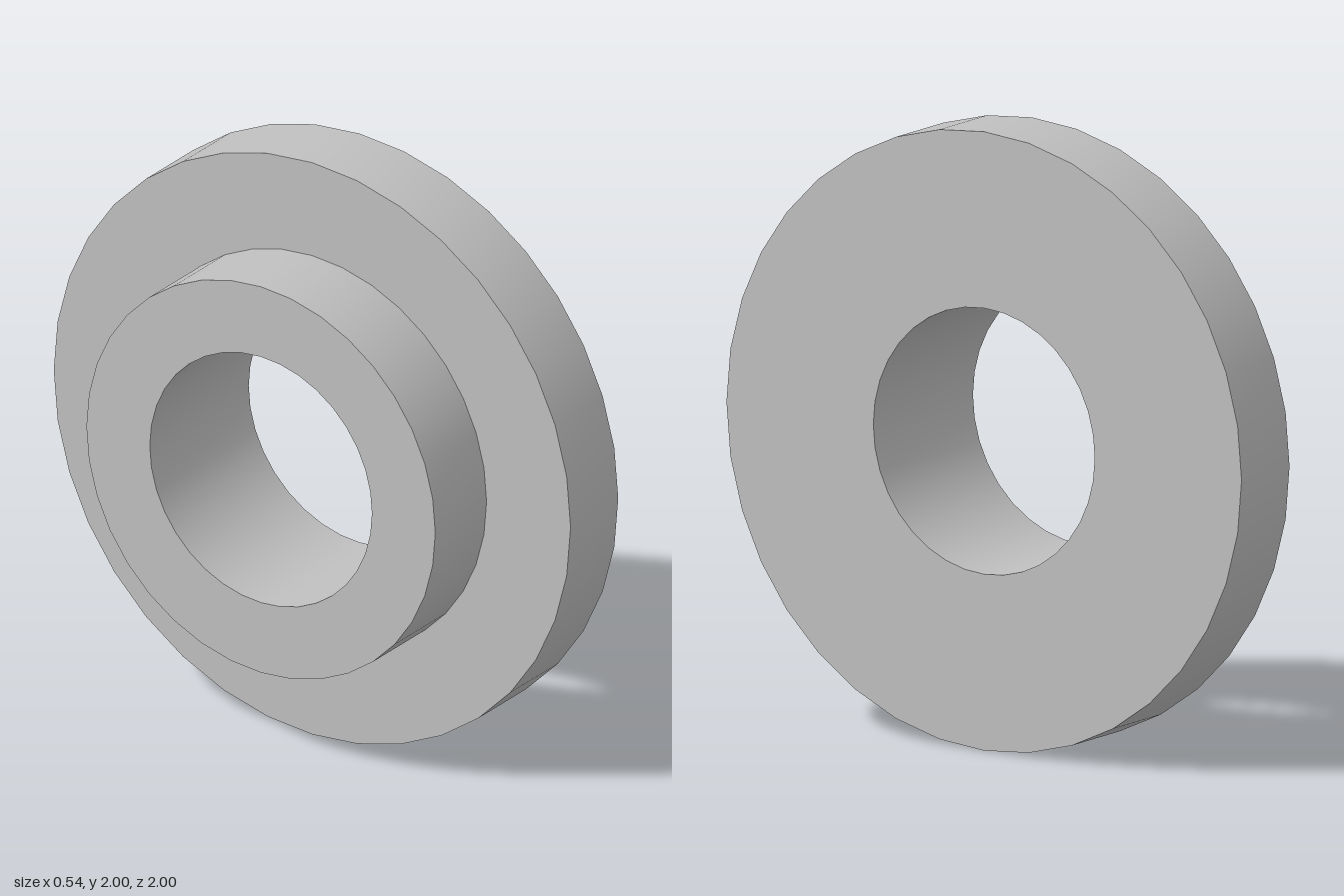
import * as THREE from 'three';
import { toCreasedNormals } from 'three/addons/utils/BufferGeometryUtils.js';

const SEGMENTS = 36;
const BORE = 0.43, SLEEVE = 0.675, FLANGE = 1;   // radii
const BACK = -0.27, STEP = 0.01, FRONT = 0.27;   // positions along the axis

export function createModel() {
  const group = new THREE.Group();
  group.name = 'flangedBushing';

  const greyMetal = new THREE.MeshStandardMaterial({ color: 0xbfbfbf });
  greyMetal.name = 'greyMetal';

  // Closed profile (radius, axis): sleeve, flange, then back through the bore
  const profile = [
    [BORE, BACK], [SLEEVE, BACK], [SLEEVE, STEP], [FLANGE, STEP],
    [FLANGE, FRONT], [BORE, FRONT], [BORE, BACK],
  ].map(([r, a]) => new THREE.Vector2(r, a));

  // Turn the lathe axis to +x; round walls stay smooth, rims stay sharp
  const geometry = new THREE.LatheGeometry(profile, SEGMENTS);
  geometry.rotateZ(-Math.PI / 2);
  const bushing = new THREE.Mesh(toCreasedNormals(geometry, Math.PI / 6), greyMetal);
  bushing.name = 'flangeAndSleeve';
  bushing.position.y = FLANGE;
  group.add(bushing);

  return group;
}
